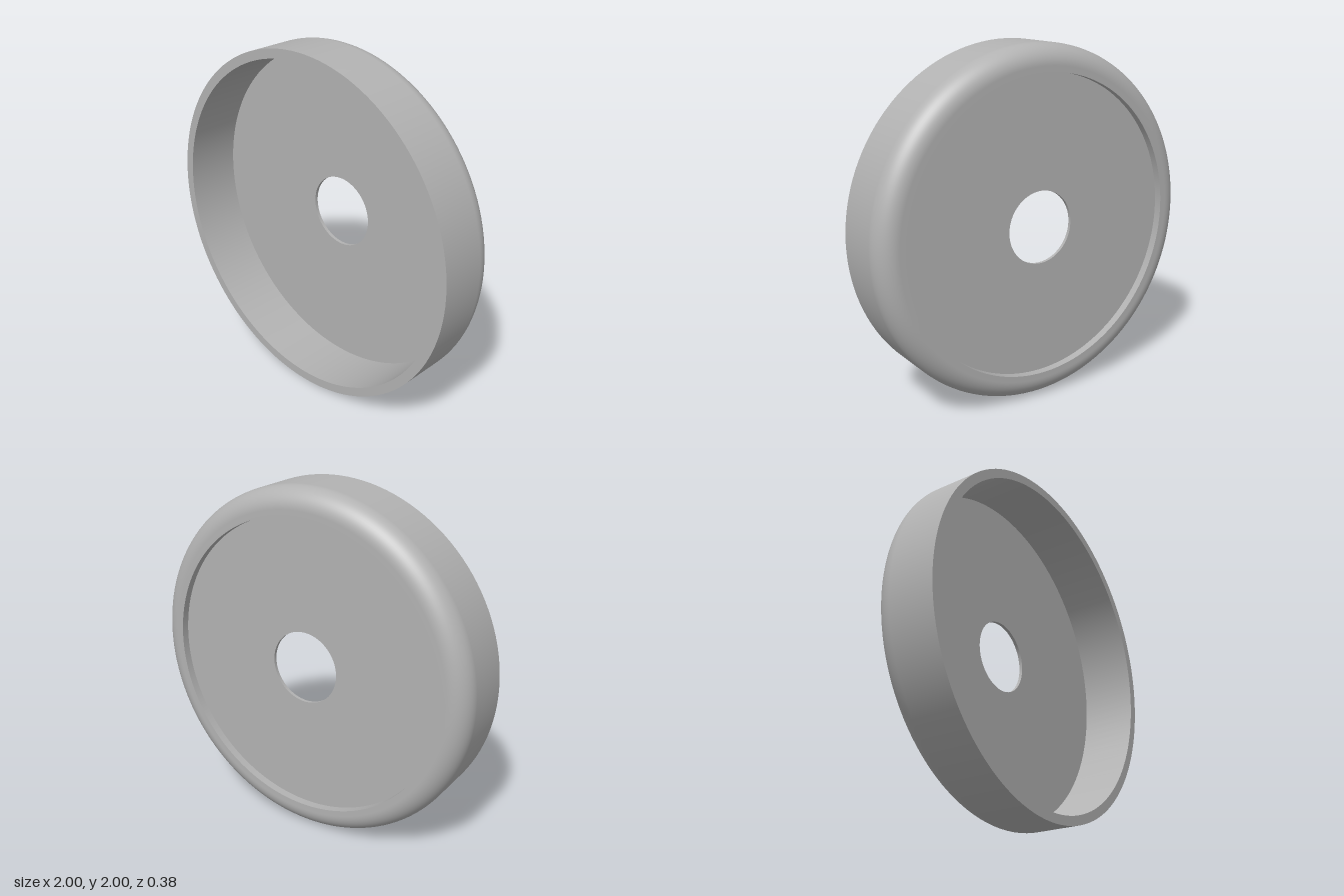
import * as THREE from 'three';

export function createModel() {
  const group = new THREE.Group();
  const grey = new THREE.MeshStandardMaterial({ color: 0xb2b2b2 });
  grey.name = 'grey';

  const front = 0.1925, back = -0.1925;       // depth limits
  const floorFront = -0.128, floorBack = -0.147; // thin disc web
  const outerR = 1, innerR = 0.947, recessR = 0.85, holeR = 0.207;
  const fillet = 0.115;

  // Revolve a profile of [radius, z] points about the z axis; one mesh per smooth surface
  function revolve(name, profile) {
    const points = profile.map(([r, z]) => new THREE.Vector2(r, z));
    const geometry = new THREE.LatheGeometry(points, 128);
    geometry.rotateX(Math.PI / 2);
    geometry.translate(0, 1, 0);
    const mesh = new THREE.Mesh(geometry, grey);
    mesh.name = name;
    group.add(mesh);
  }

  // Rounded back edge running into the straight outer wall
  const shell = [[recessR, back]];
  const steps = 14;
  for (let i = 0; i <= steps; i++) {
    const a = (i / steps) * Math.PI / 2;
    shell.push([outerR - fillet + fillet * Math.sin(a), back + fillet - fillet * Math.cos(a)]);
  }
  shell.push([outerR, front]);
  revolve('outerShell', shell);

  // Open front side
  revolve('frontRim', [[outerR, front], [innerR, front]]);
  revolve('innerWall', [[innerR, front], [innerR, floorFront]]);
  revolve('floorFront', [[innerR, floorFront], [holeR, floorFront]]);

  // Centre hole and shallow back recess
  revolve('holeWall', [[holeR, floorFront], [holeR, floorBack]]);
  revolve('floorBack', [[holeR, floorBack], [recessR, floorBack]]);
  revolve('recessWall', [[recessR, floorBack], [recessR, back]]);

  return group;
}
